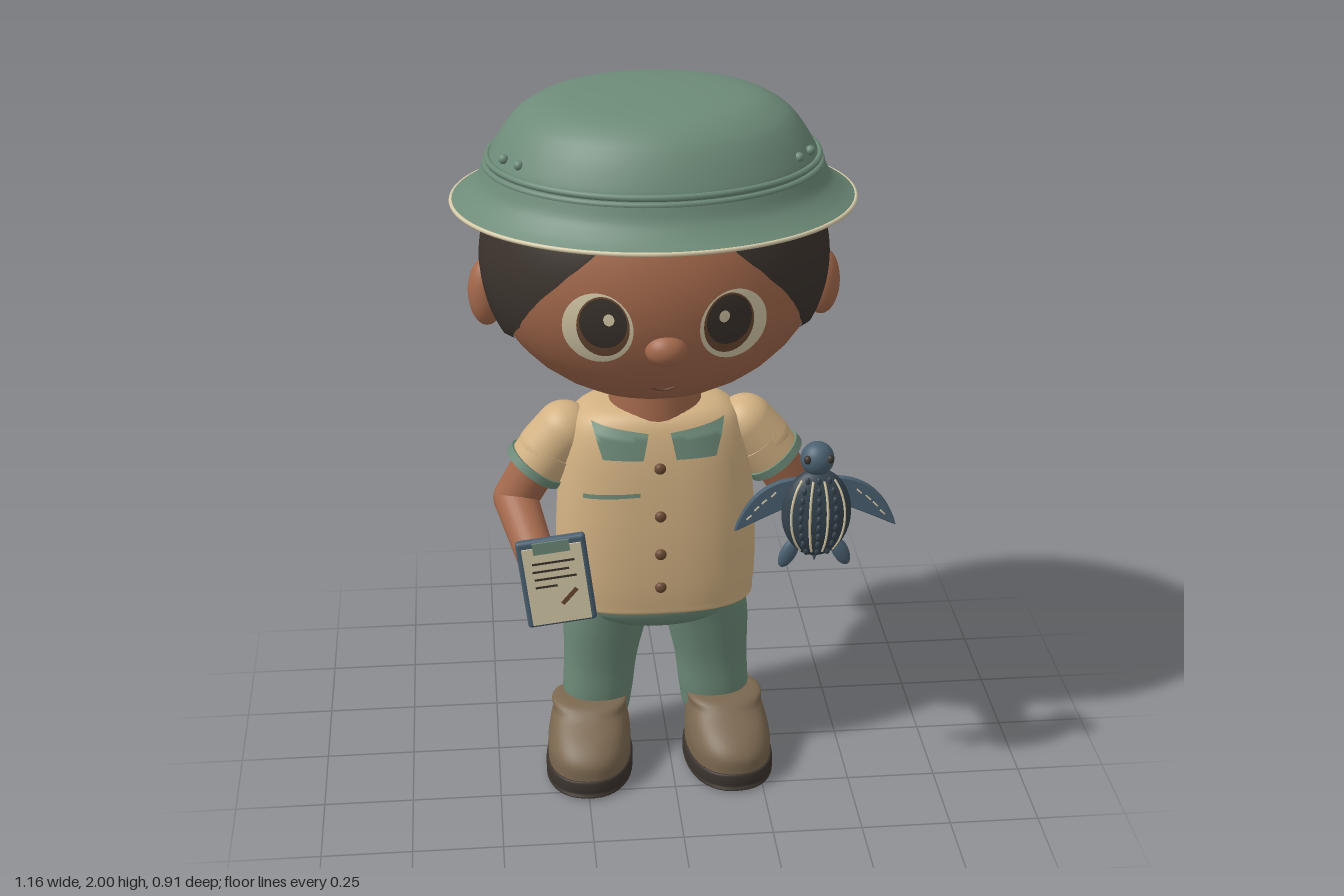
import * as THREE from 'three';
import { ParametricGeometry } from 'three/addons/geometries/ParametricGeometry.js';
import { RoundedBoxGeometry } from 'three/addons/geometries/RoundedBoxGeometry.js';

const mat = (name, color) => Object.assign(new THREE.MeshStandardMaterial({ color }), { name });
const M = {
  skin: mat('skin', 0xa4694c), dark: mat('dark brown', 0x3b332d), green: mat('sage green', 0x6d8b78),
  tan: mat('tan cloth', 0xd3b283), boot: mat('boot brown', 0x7b6850), slate: mat('slate blue', 0x4a6070),
  shell: mat('dark slate', 0x36434d), cream: mat('cream', 0xd8ccaa), brown: mat('button brown', 0x6b4a33),
};
const V = (x, y, z) => new THREE.Vector3(x, y, z);
const SIDES = [['right', -1], ['left', 1]];

function add(parent, name, geo, material, pos = [0, 0, 0], rot = [0, 0, 0], scale = [1, 1, 1]) {
  const m = new THREE.Mesh(geo, material);
  m.name = name;
  m.position.set(...pos); m.rotation.set(...rot); m.scale.set(...scale);
  parent.add(m);
  return m;
}
const ball = (parent, name, material, pos, r, rot) =>
  add(parent, name, new THREE.SphereGeometry(1, 32, 20), material, pos, rot, r);

// Surface through rounded sections [y, centre z, radius x, radius z, centre x]
function loft(sections, n = 2, sx = 1) {
  const curve = f => new THREE.CatmullRomCurve3(sections.map(f), false, 'catmullrom');
  const A = curve(s => V(s[0], s[1], s[2])), B = curve(s => V(s[3], (s[4] || 0) * sx, 0));
  const pw = c => Math.sign(c) * Math.abs(c) ** (2 / n);
  return new ParametricGeometry((u, v, t) => {
    const a = u * Math.PI * 2, p = A.getPoint(v), q = B.getPoint(v);
    t.set(q.y + p.z * pw(Math.sin(a)), p.x, p.y + q.x * pw(Math.cos(a)));
  }, 40, sections.length * 5);
}

// Tapered limb segment with round ends
function bone(parent, name, material, a, b, ra, rb) {
  const g = new THREE.Group(), d = b.clone().sub(a);
  g.name = name;
  const c = add(g, name + 'Segment', new THREE.CylinderGeometry(rb, ra, d.length(), 28, 1, true), material,
    a.clone().add(b).multiplyScalar(0.5).toArray());
  c.quaternion.setFromUnitVectors(V(0, 1, 0), d.normalize());
  ball(g, name + 'Start', material, a.toArray(), [ra, ra, ra]);
  ball(g, name + 'End', material, b.toArray(), [rb, rb, rb]);
  parent.add(g);
}

// Thin patches laid on a front surface z = f(x, y)
const disc = (f, cx, cy, rx, ry, off) => new ParametricGeometry((u, v, t) => {
  const r = Math.max(u, 0.002), a = v * Math.PI * 2;
  const x = cx + rx * r * Math.cos(a), y = cy + ry * r * Math.sin(a);
  t.set(x, y, f(x, y) + off);
}, 8, 36);
const quad = (f, [bl, br, tr, tl], off) => new ParametricGeometry((u, v, t) => {
  const mix = k => (bl[k] * (1 - u) + br[k] * u) * (1 - v) + (tl[k] * (1 - u) + tr[k] * u) * v;
  t.set(mix(0), mix(1), f(mix(0), mix(1)) + off);
}, 10, 8);

const headZ = (x, y) =>
  0.02 + 0.375 * Math.sqrt(Math.max(0, 1 - (x / 0.455) ** 2 - ((y - 1.55) / 0.395) ** 2));

const SHIRT = [[0.525, 0.015, 0.001, 0.001], [0.53, 0.015, 0.245, 0.15], [0.565, 0.015, 0.277, 0.175],
  [0.75, 0.018, 0.28, 0.178], [0.95, 0.02, 0.265, 0.165], [1.07, 0.02, 0.24, 0.145],
  [1.12, 0.02, 0.19, 0.12], [1.135, 0.02, 0.1, 0.08]];
function shirtZ(x, y) {
  const i = Math.min(Math.max(SHIRT.findIndex(s => s[0] > y), 1), SHIRT.length - 1);
  const a = SHIRT[i - 1], b = SHIRT[i], k = (y - a[0]) / (b[0] - a[0]);
  const [, cz, rx, rz] = a.map((q, j) => q + (b[j] - q) * k);
  return cz + rz * Math.max(0, 1 - Math.abs(x / rx) ** 2.6) ** (1 / 2.6);
}

function buildHead(g) {
  ball(g, 'head', M.skin, [0, 1.55, 0.02], [0.455, 0.395, 0.375]);
  ball(g, 'nose', M.skin, [0, 1.415, 0.365], [0.055, 0.045, 0.045]);
  add(g, 'neck', new THREE.CylinderGeometry(0.125, 0.13, 0.14, 32), M.skin, [0, 1.14, 0.02]);
  const smile = [-0.03, -0.015, 0, 0.015, 0.03].map(x => {
    const y = 1.265 + 12 * x * x;
    return V(x, y, headZ(x, y) + 0.001);
  });
  add(g, 'mouth', new THREE.TubeGeometry(new THREE.CatmullRomCurve3(smile), 12, 0.003, 6), M.brown);
  for (const [side, s] of SIDES) {
    ball(g, side + 'Ear', M.skin, [s * 0.452, 1.46, 0.03], [0.05, 0.095, 0.05]);
    const x = s * 0.175, ix = s * 0.162;
    add(g, side + 'EyeWhite', disc(headZ, x, 1.475, 0.09, 0.103, 0.004), M.cream);
    add(g, side + 'Iris', disc(headZ, ix, 1.483, 0.067, 0.088, 0.007), M.brown);
    add(g, side + 'Pupil', disc(headZ, ix, 1.495, 0.06, 0.072, 0.01), M.dark);
    add(g, side + 'EyeGlint', disc(headZ, s * 0.148, 1.51, 0.014, 0.017, 0.013), M.cream);
  }
  // Hair cap: its lower edge drops from the brow to the nape
  const edge = [[0, 1.76], [20, 1.7], [43, 1.54], [60, 1.42], [78, 1.345], [95, 1.305], [135, 1.275], [180, 1.26]];
  const edgeY = deg => {
    const i = Math.max(1, edge.findIndex(e => e[0] >= deg - 1e-6));
    const [a, b] = [edge[i - 1], edge[i]];
    return a[1] + (b[1] - a[1]) * (deg - a[0]) / (b[0] - a[0]);
  };
  add(g, 'hair', new ParametricGeometry((u, v, t) => {
    const a = u * Math.PI * 2, deg = Math.min(180, Math.abs(((u * 360 + 180) % 360) - 180));
    const end = Math.acos((edgeY(deg) - 1.55) / 0.409);
    const th = Math.max(0.002, end * (1 - v)), k = v < 0.02 ? 0.96 : 1;
    t.set(0.47 * k * Math.sin(th) * Math.sin(a), 1.55 + 0.409 * Math.cos(th),
      0.02 + 0.388 * k * Math.sin(th) * Math.cos(a));
  }, 96, 40), M.dark);
  ball(g, 'bun', M.dark, [-0.22, 1.44, -0.325], [0.115, 0.115, 0.105]);
  ball(g, 'bunCoil', M.dark, [-0.3, 1.45, -0.3], [0.075, 0.085, 0.08]);
}

function buildHat(g) {
  const hat = new THREE.Group();
  hat.name = 'hat';
  hat.scale.z = 0.84;
  g.add(hat);
  const p = a => a.map(q => new THREE.Vector2(...q));
  const brim = new THREE.SplineCurve(p([[0.54, 1.71], [0.505, 1.732], [0.47, 1.765], [0.452, 1.805]])).getPoints(14);
  const crown = new THREE.SplineCurve(p([[0.44, 1.805], [0.43, 1.84], [0.39, 1.905], [0.345, 1.95],
    [0.27, 1.983], [0.14, 1.996], [0.0001, 2]])).getPoints(36);
  const under = p([[0.4, 1.79], [0.46, 1.755], [0.5, 1.725], [0.54, 1.703]]);
  add(hat, 'brim', new THREE.LatheGeometry(brim, 72), M.green);
  add(hat, 'crown', new THREE.LatheGeometry(crown, 72), M.green);
  add(hat, 'brimUnderside', new THREE.LatheGeometry(under, 72), M.green);
  add(hat, 'brimTrim', new THREE.TorusGeometry(0.537, 0.006, 8, 96), M.cream, [0, 1.708, 0], [Math.PI / 2, 0, 0]);
  for (const [y, r] of [[1.808, 0.444], [1.826, 0.438]])
    add(hat, 'hatBand', new THREE.TorusGeometry(r, 0.009, 8, 96), M.green, [0, y, 0], [Math.PI / 2, 0, 0]);
  for (const [, s] of SIDES) for (const [x, z] of [[0.397, 0.15], [0.36, 0.215]])
    ball(hat, 'rivet', M.green, [s * x, 1.86, z], [0.013, 0.013, 0.015]);
}

function buildBody(g) {
  add(g, 'shirt', loft(SHIRT, 2.6), M.tan);
  add(g, 'hips', loft([[0.435, 0.02, 0.001, 0.001], [0.45, 0.02, 0.11, 0.08], [0.49, 0.02, 0.225, 0.14],
    [0.53, 0.02, 0.255, 0.16], [0.57, 0.02, 0.25, 0.155]], 2.3), M.green);
  for (const y of [0.985, 0.845, 0.73, 0.625])
    ball(g, 'button', M.brown, [0, y, shirtZ(0, y) + 0.004], [0.016, 0.016, 0.012]);
  add(g, 'pocket', quad(shirtZ, [[-0.205, 0.82], [-0.06, 0.82], [-0.06, 0.915], [-0.205, 0.905]], 0.008), M.tan);
  add(g, 'pocketTrim', quad(shirtZ, [[-0.21, 0.895], [-0.055, 0.908], [-0.055, 0.92], [-0.21, 0.908]], 0.012), M.green);
  const collar = [[-0.155, 1.012], [-0.045, 1.012], [-0.03, 1.085], [-0.182, 1.105]];
  const flip = ([x, y]) => [-x, y];
  const [bl, br, tr, tl] = collar;
  add(g, 'rightCollar', quad(shirtZ, collar, 0.012), M.green);
  add(g, 'leftCollar', quad(shirtZ, [br, bl, tl, tr].map(flip), 0.012), M.green);
  for (const [side, s] of SIDES) {
    add(g, side + 'Leg', loft([[0.12, 0, 0.001, 0.001, 0.175], [0.125, 0, 0.085, 0.085, 0.175],
      [0.2, 0.01, 0.1, 0.097, 0.17], [0.32, 0.015, 0.105, 0.1, 0.16], [0.45, 0.02, 0.12, 0.115, 0.145],
      [0.53, 0.02, 0.125, 0.13, 0.13]], 2.2, s), M.green);
    const foot = new THREE.Group();
    foot.name = side + 'Foot';
    foot.position.x = s * 0.19;
    foot.rotation.y = s * 0.1;
    g.add(foot);
    add(foot, 'sole', loft([[0, 0.112, 0.001, 0.001], [0.002, 0.112, 0.112, 0.17], [0.02, 0.112, 0.124, 0.182],
      [0.052, 0.112, 0.123, 0.181], [0.055, 0.112, 0.11, 0.17]], 2.3), M.dark);
    add(foot, 'boot', loft([[0.05, 0.11, 0.118, 0.177], [0.1, 0.108, 0.119, 0.174], [0.14, 0.09, 0.114, 0.155],
      [0.18, 0.068, 0.105, 0.11], [0.208, 0.06, 0.1, 0.075], [0.215, 0.06, 0.001, 0.001]], 2.3), M.boot);
    // Sleeve, cuff and arm
    const cuff = V(s * 0.333, 0.935, 0.02), shoulder = V(s * 0.252, 1.04, 0.02);
    bone(g, side + 'Shoulder', M.tan, shoulder, V(s * 0.3, 0.985, 0.02), 0.082, 0.082);
    const dir = cuff.clone().sub(shoulder).normalize();
    const turn = new THREE.Quaternion().setFromUnitVectors(V(0, -1, 0), dir);
    add(g, side + 'Sleeve', new THREE.CylinderGeometry(0.084, 0.082, 0.08, 32), M.tan,
      cuff.clone().addScaledVector(dir, -0.035).toArray()).quaternion.copy(turn);
    add(g, side + 'Cuff', new THREE.CylinderGeometry(0.089, 0.089, 0.024, 32), M.green,
      cuff.toArray()).quaternion.copy(turn);
    const elbow = V(s * 0.392, 0.83, 0.01);
    const hand = s > 0 ? V(0.425, 0.825, 0.27) : V(-0.335, 0.72, 0.225);
    bone(g, side + 'UpperArm', M.skin, cuff, elbow, 0.065, 0.062);
    bone(g, side + 'Forearm', M.skin, elbow, hand, 0.062, 0.052);
    ball(g, side + 'Hand', M.skin, hand.toArray(), [0.055, 0.058, 0.06]);
  }
}

function buildClipboard(g) {
  const c = new THREE.Group();
  c.name = 'clipboard';
  c.position.set(-0.293, 0.715, 0.29);
  c.rotation.z = 0.12;
  g.add(c);
  add(c, 'board', new RoundedBoxGeometry(0.19, 0.265, 0.026, 3, 0.01), M.slate);
  const plate = (name, m, w, h, x, y, z, r = 0) =>
    add(c, name, new THREE.BoxGeometry(w, h, 0.005), m, [x, y, z], [0, 0, r]);
  plate('paper', M.cream, 0.162, 0.235, 0, -0.005, 0.014);
  plate('clip', M.green, 0.1, 0.034, 0, 0.112, 0.019);
  [[0.115, 0], [0.1, -0.01], [0.115, 0], [0.06, -0.028]].forEach(([w, x], i) =>
    plate('writtenLine', M.dark, w, 0.006, x, 0.065 - i * 0.024, 0.0155));
  plate('pencil', M.brown, 0.06, 0.012, 0.03, -0.045, 0.0165, 0.75);
}

function buildTurtle(g) {
  const t = new THREE.Group();
  t.name = 'turtle';
  t.position.set(0.402, 0.93, 0.365);
  g.add(t);
  ball(t, 'shell', M.shell, [0, 0, 0.003], [0.094, 0.128, 0.05]);
  ball(t, 'belly', M.slate, [0, 0, -0.015], [0.086, 0.12, 0.042]);
  // Shell stripes and keels along its length
  for (let i = -3; i <= 3; i++) {
    const x0 = i * 0.024, pts = [];
    for (let k = -4; k <= 4; k++) {
      const y = k * 0.026, x = x0 * Math.sqrt(1 - (y / 0.13) ** 2);
      const z = 0.003 + 0.05 * Math.sqrt(Math.max(0, 1 - (x / 0.094) ** 2 - (y / 0.128) ** 2));
      pts.push(V(x, y, z));
      if (i % 2 === 0) ball(t, 'keelBump', M.shell, [x, y, z], [0.007, 0.011, 0.006]);
    }
    if (i % 2) add(t, 'stripe', new THREE.TubeGeometry(new THREE.CatmullRomCurve3(pts), 24, 0.0035, 6), M.cream);
  }
  ball(t, 'turtleNeck', M.slate, [0, 0.12, -0.008], [0.03, 0.04, 0.03]);
  ball(t, 'turtleHead', M.slate, [0, 0.155, -0.005], [0.045, 0.047, 0.043]);
  add(t, 'tail', new THREE.ConeGeometry(0.014, 0.04, 12), M.slate, [0, -0.135, -0.01], [Math.PI, 0, 0]);
  for (const [side, s] of SIDES) {
    ball(t, side + 'TurtleEye', M.dark, [s * 0.03, 0.165, 0.024], [0.01, 0.012, 0.01]);
    const f = new THREE.Shape();
    f.moveTo(s * 0.05, 0.095);
    f.quadraticCurveTo(s * 0.17, 0.09, s * 0.215, -0.048);
    f.quadraticCurveTo(s * 0.14, -0.01, s * 0.07, 0.02);
    add(t, side + 'FrontFlipper', new THREE.ExtrudeGeometry(f, { depth: 0.01, bevelSize: 0.003,
      bevelThickness: 0.004, bevelSegments: 2, curveSegments: 16 }), M.slate, [0, 0, -0.015]);
    for (const [x, y] of [[0.115, 0.055], [0.14, 0.035], [0.16, 0.015], [0.18, -0.01]])
      add(t, 'flipperFleck', new THREE.BoxGeometry(0.018, 0.004, 0.003), M.cream, [s * x, y, 0], [0, 0, -s * 0.8]);
    ball(t, side + 'RearFlipper', M.slate, [s * 0.07, -0.125, -0.01], [0.022, 0.048, 0.014], [0, 0, s * 0.45]);
  }
}

export function createModel() {
  const root = new THREE.Group(), body = new THREE.Group();
  root.name = 'rangerFigure';
  body.name = 'figure';
  body.position.x = -0.037;
  root.add(body);
  for (const build of [buildHead, buildHat, buildBody, buildClipboard, buildTurtle]) build(body);
  return root;
}
